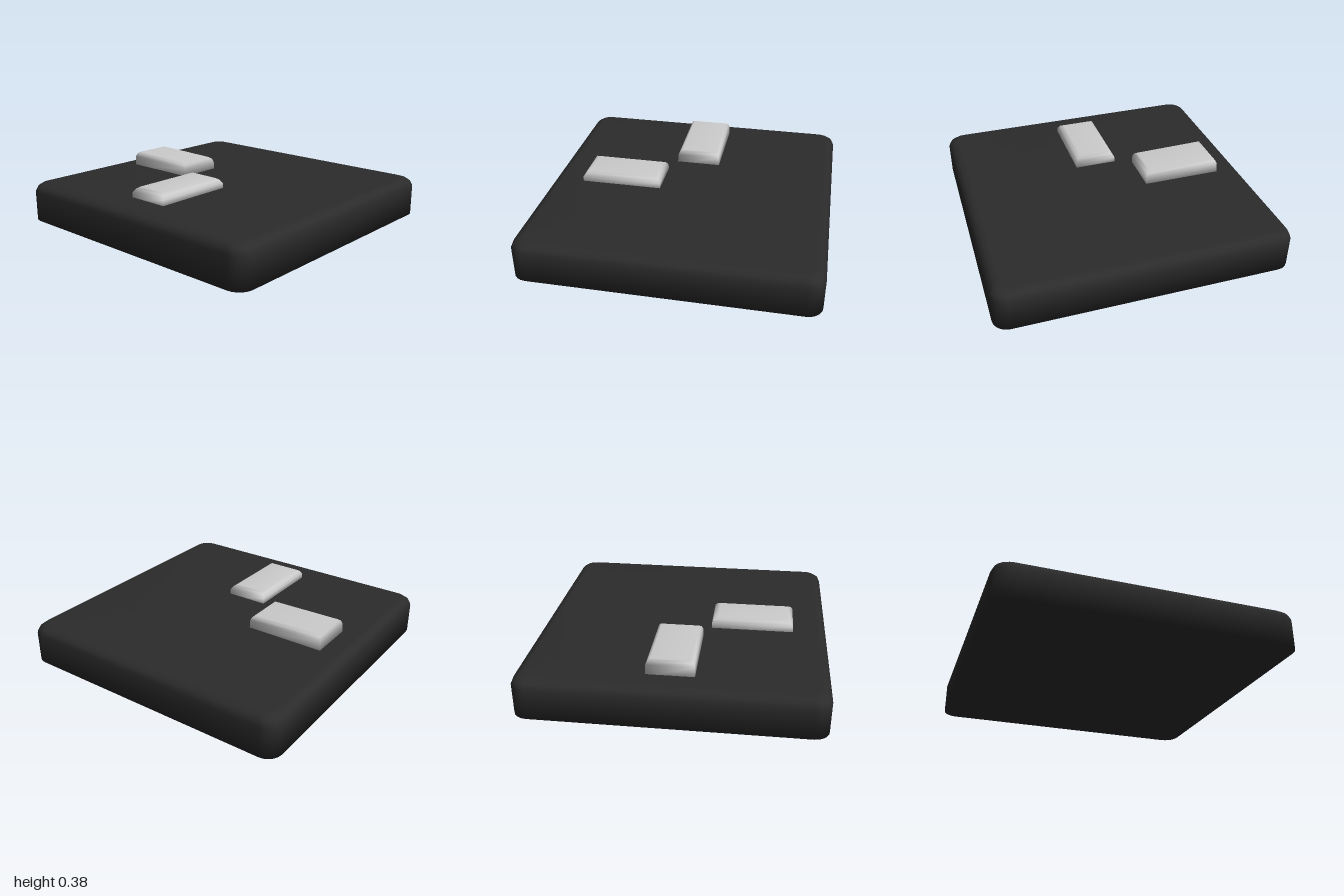
import * as THREE from 'three';

// One ring of a rounded rectangle, counter-clockwise seen from above
function ring(hw, hd, r, steps) {
  const pts = [];
  [[1, 1], [-1, 1], [-1, -1], [1, -1]].forEach(([sx, sz], q) => {
    for (let i = 0; i <= steps; i++) {
      const a = (q + (steps ? i / steps : 0.5)) * Math.PI / 2;
      const c = steps ? [Math.cos(a) * r, Math.sin(a) * r] : [sx * r, sz * r];
      pts.push([sx * (hw - r) + c[0], -(sz * (hd - r) + c[1])]);
    }
  });
  return pts;
}

// Closed slab lofted through [height, inset] levels; slope tilts its top along x
function slab(name, color, { w, d, r = 0, steps = 0, levels, slope = 0 }) {
  const pos = [], idx = [];
  const n = 4 * (steps + 1), last = levels.length - 1;
  levels.forEach(([y, inset], k) => {
    for (const [x, z] of ring(w / 2 - inset, d / 2 - inset, Math.max(r - inset * 0.4, 0), steps)) {
      pos.push(x, y + (k ? slope * x : 0), z);
    }
  });
  pos.push(0, levels[0][0], 0, 0, levels[last][0], 0);
  const bottom = n * levels.length, top = bottom + 1;
  for (let i = 0; i < n; i++) {
    const j = (i + 1) % n;
    for (let k = 0; k < last; k++) {
      const a = k * n + i, b = k * n + j;
      idx.push(a, b, b + n, a, b + n, a + n);
    }
    idx.push(bottom, j, i, top, last * n + i, last * n + j);
  }
  const geo = new THREE.BufferGeometry();
  geo.setAttribute('position', new THREE.Float32BufferAttribute(pos, 3));
  geo.setIndex(idx);
  geo.computeVertexNormals();
  const mesh = new THREE.Mesh(geo, new THREE.MeshStandardMaterial({ color }));
  mesh.name = name;
  return mesh;
}

export function createModel() {
  const model = new THREE.Group();
  model.name = 'slabWithBlocks';

  // Dark base plate with rounded corners and softened upper edge
  model.add(slab('basePlate', 0x2b2b2b, {
    w: 2, d: 2, r: 0.1, steps: 5,
    levels: [[0, 0], [0.21, 0], [0.245, 0.015], [0.265, 0.04], [0.276, 0.075]],
  }));

  // Side block, its top falling slightly toward the middle
  const side = slab('sideBlock', 0xcccccc, {
    w: 0.55, d: 0.315, slope: -0.02,
    levels: [[0.26, 0], [0.335, 0.003], [0.358, 0.012], [0.371, 0.03]],
  });
  side.position.set(-0.545, 0, -0.002);

  // Front block
  const front = slab('frontBlock', 0xcccccc, {
    w: 0.297, d: 0.567,
    levels: [[0.26, 0], [0.312, 0.002], [0.336, 0.018], [0.35, 0.042]],
  });
  front.position.set(-0.002, 0, 0.483);

  model.add(side, front);
  return model;
}
